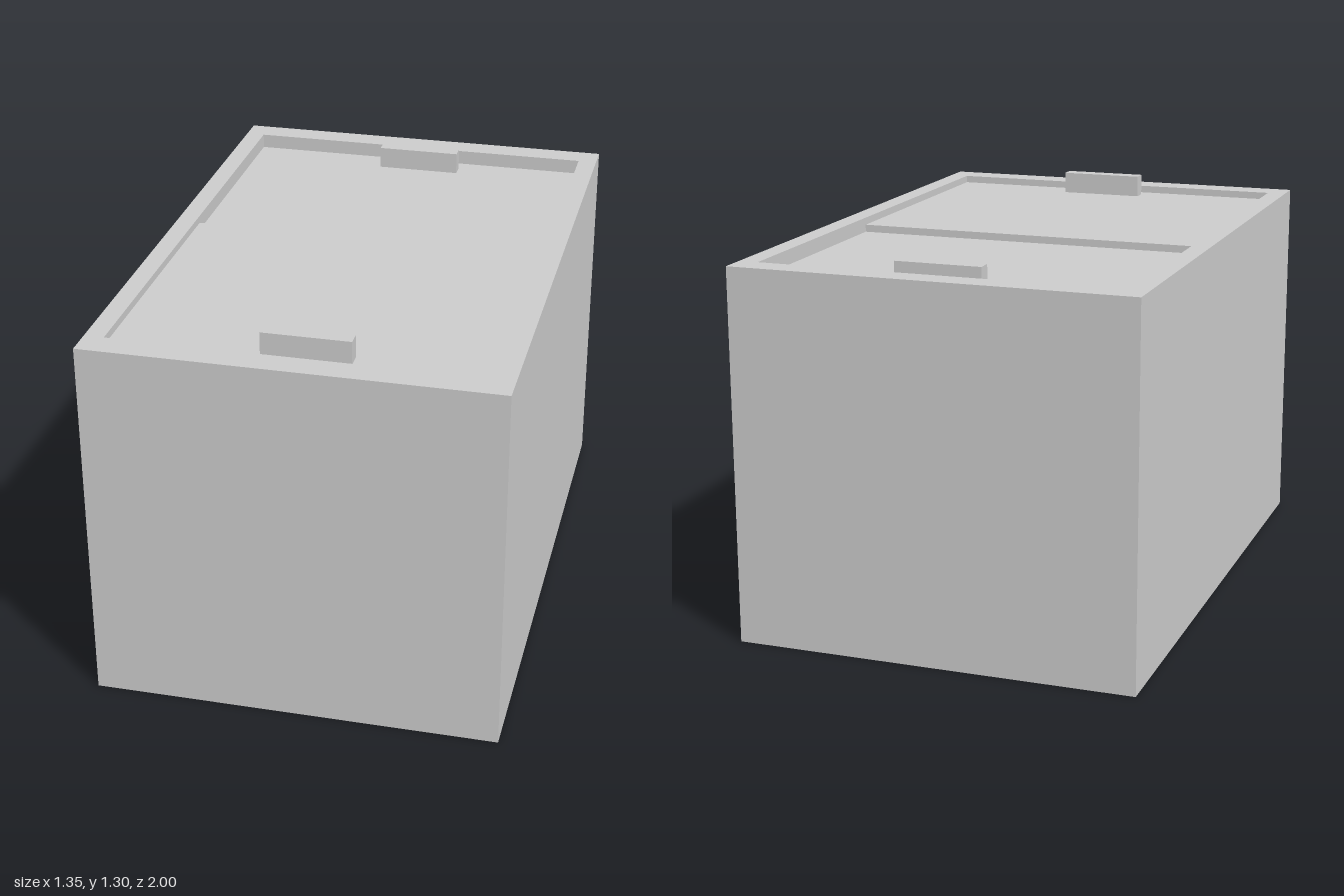
import * as THREE from 'three';

const material = new THREE.MeshStandardMaterial({ color: 0xcccccc, flatShading: true });

// Box given by its minimum and maximum corners
function block(name, [x0, y0, z0], [x1, y1, z1]) {
  const mesh = new THREE.Mesh(new THREE.BoxGeometry(x1 - x0, y1 - y0, z1 - z0), material);
  mesh.name = name;
  mesh.position.set((x0 + x1) / 2, (y0 + y1) / 2, (z0 + z1) / 2);
  return mesh;
}

// Closed rectangle for a plan outline
function rectangle(Type, x0, y0, x1, y1) {
  return new Type([[x0, y0], [x1, y0], [x1, y1], [x0, y1]].map(([x, y]) => new THREE.Vector2(x, y)));
}

export function createModel() {
  const group = new THREE.Group();
  group.name = 'chestWithSlidingLids';

  const height = 1.255, inX = 0.61, inBack = -0.91, inFront = 0.905;
  const split = -0.08, thickness = 0.025, backTop = 1.205, frontTop = 1.23;

  // Four walls as one frame, with the opening seen from above
  const plan = rectangle(THREE.Shape, -0.675, -1, 0.675, 1);
  plan.holes.push(rectangle(THREE.Path, -inX, -inFront, inX, -inBack));
  const wallGeometry = new THREE.ExtrudeGeometry(plan, { depth: height, bevelEnabled: false });
  wallGeometry.rotateX(-Math.PI / 2);
  const walls = new THREE.Mesh(wallGeometry, material);
  walls.name = 'walls';
  group.add(walls);

  // Floor fills the frame at the bottom
  group.add(block('floor', [-inX, 0, inBack], [inX, 0.065, inFront]));

  // Two sliding lids at different levels, the back one tucked under the front one
  group.add(block('backLid', [-inX, backTop - thickness, inBack], [inX, backTop, split + 0.06]));
  group.add(block('frontLid', [-inX, frontTop - thickness, split], [inX, frontTop, inFront]));

  // One grip bar on each lid
  group.add(block('backHandle', [-0.125, backTop, -0.86], [0.165, backTop + 0.075, -0.81]));
  group.add(block('frontHandle', [-0.125, frontTop, 0.81], [0.165, frontTop + 0.075, 0.86]));

  return group;
}
